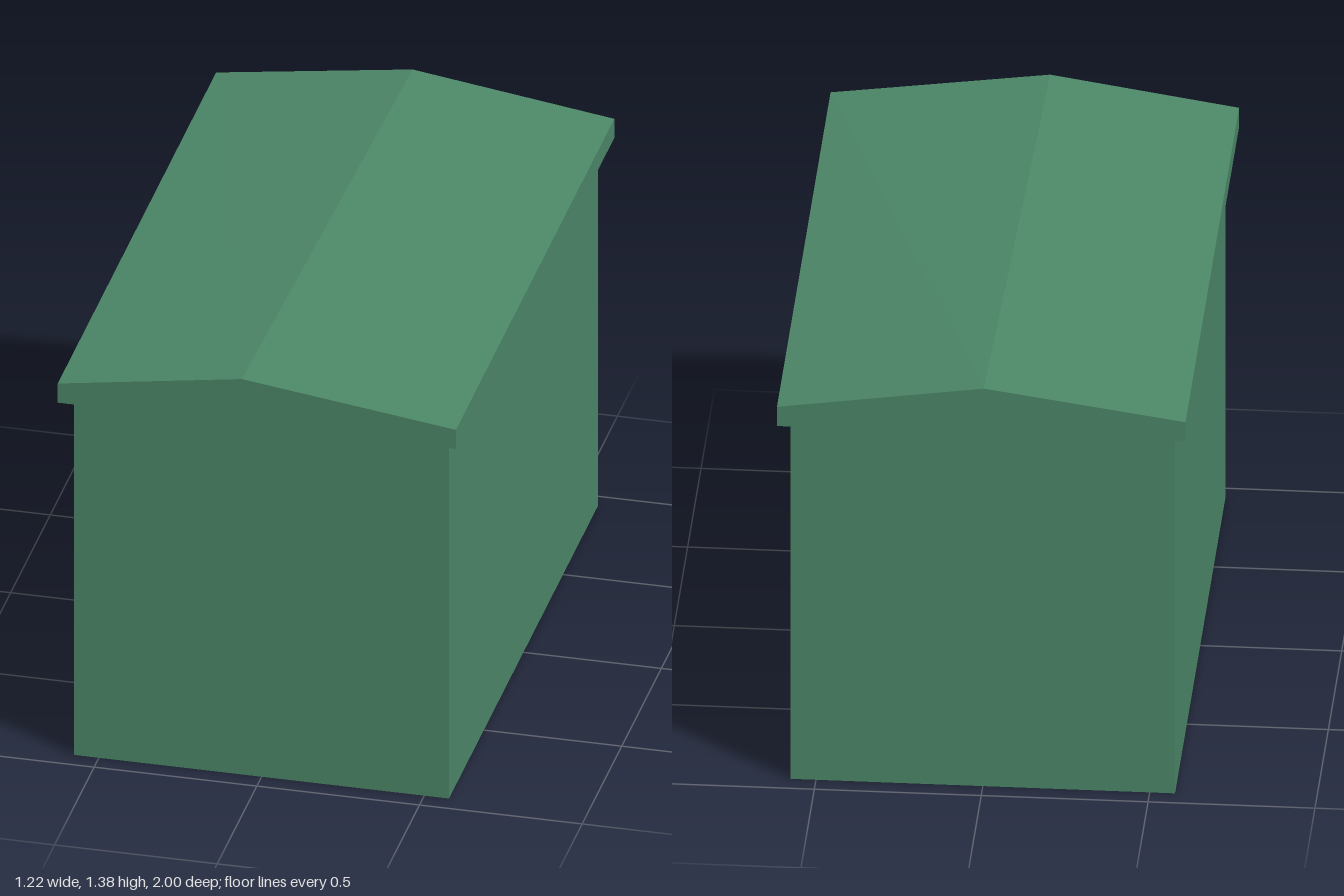
import * as THREE from 'three';

const green = new THREE.MeshStandardMaterial({ color: 0x4c8768 });
green.name = 'green';

// Flat-faced mesh from convex polygons, corners counter-clockwise seen from outside
function polygonMesh(name, polygons) {
  const points = [];
  for (const p of polygons) {
    for (let i = 1; i < p.length - 1; i++) points.push(...p[0], ...p[i], ...p[i + 1]);
  }
  const geometry = new THREE.BufferGeometry();
  geometry.setAttribute('position', new THREE.Float32BufferAttribute(points, 3));
  geometry.computeVertexNormals();
  const mesh = new THREE.Mesh(geometry, green);
  mesh.name = name;
  return mesh;
}

// Rectangular section, counter-clockwise seen from above
const ring = (x, y, z) => [[-x, y, z], [x, y, z], [x, y, -z], [-x, y, -z]];

// Four side faces joining two rings
function band(low, high) {
  return low.map((p, i) => {
    const j = (i + 1) % 4;
    return [p, low[j], high[j], high[i]];
  });
}

export function createModel() {
  const model = new THREE.Group();
  model.name = 'shed';

  const base = ring(0.576, 0, 0.94);
  const wallTop = ring(0.576, 1.2, 0.94);
  const eaveLow = ring(0.612, 1.225, 1);
  const eaveTop = ring(0.612, 1.29, 1);

  // Walls and the flared underside of the eaves
  model.add(polygonMesh('walls', band(base, wallTop)));
  model.add(polygonMesh('floor', [[...base].reverse()]));
  model.add(polygonMesh('soffit', band(wallTop, eaveLow)));
  model.add(polygonMesh('fascia', band(eaveLow, eaveTop)));

  // Roof with a ridge running slightly askew
  const [fl, fr, br, bl] = eaveTop;
  const ridgeFront = [-0.046, 1.378, 1];
  const ridgeBack = [-0.008, 1.378, -1];
  model.add(polygonMesh('gables', [[fl, fr, ridgeFront], [br, bl, ridgeBack]]));
  model.add(polygonMesh('roof', [
    [fr, br, ridgeBack, ridgeFront],
    [bl, fl, ridgeFront, ridgeBack],
  ]));
  return model;
}
